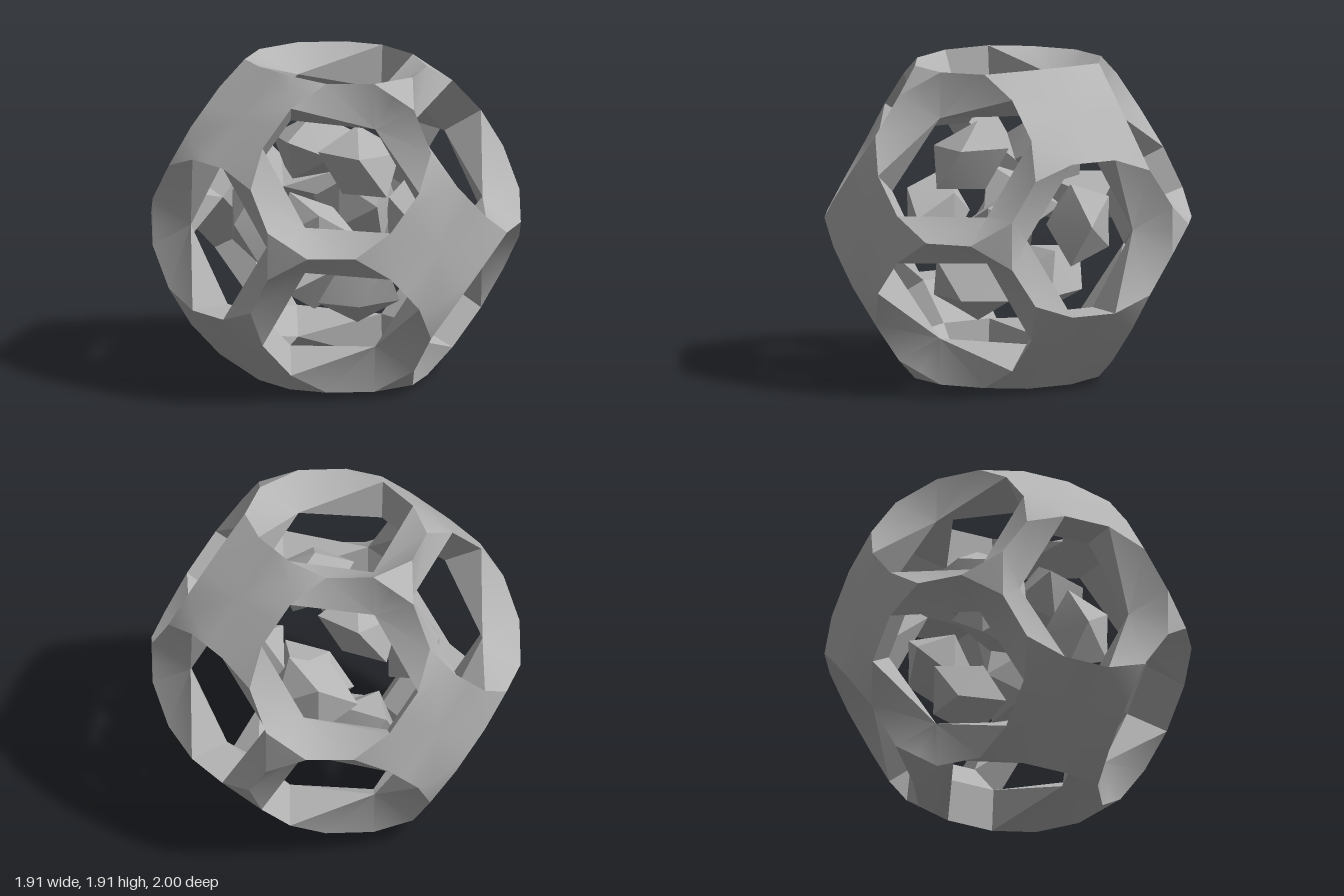
import * as THREE from 'three';
import { toCreasedNormals } from 'three/addons/utils/BufferGeometryUtils.js';

// Key points of one 1/48 wedge of a cube (a, b, c), with c >= a >= b >= 0.
const P = {
  // panel
  faceMid: [0, 0, 1], edgeMid: [0.35, 0, 1], edge: [0.35, 0.15, 1],
  tipBase: [0.25, 0.25, 1], tip: [0.4, 0.4, 0.93],
  // corner node and the sharp inner rim of the openings
  node: [0.562, 0.562, 0.764], nodeSide: [0.663, 0.562, 0.663], nodeMid: [0.63, 0.63, 0.63],
  rim: [0.565, 0.37, 0.565],
  // backs of the panels and corners
  backMid: [0, 0, 0.81], backSide: [0.16, 0, 0.81], back: [0.16, 0.16, 0.81],
  cornerSide: [0.4675, 0.4675, 0.565], cornerMid: [0.5, 0.5, 0.5],
  // floating shard
  spike: [0.15, 0.15, 0.5], notch: [0.244, 0.05, 0.244], cap: [0.424, 0.21, 0.424],
  capSide: [0.316, 0.316, 0.423], capMid: [0.352, 0.352, 0.352],
  baseSide: [0.147, 0.147, 0.243], baseMid: [0.179, 0.179, 0.179],
};

// Even and odd axis orders used to repeat the wedge.
const ORDERS = [
  [[0, 1, 2], 1], [[1, 2, 0], 1], [[2, 0, 1], 1],
  [[1, 0, 2], -1], [[0, 2, 1], -1], [[2, 1, 0], -1],
];

// Repeats the wedge faces over all 48 symmetries, keeping corners counter-clockwise.
function symmetricGeometry(faces, crease) {
  const out = [];
  const push = ([a, b, c]) => out.push((a - b) * Math.SQRT1_2, (a + b) * Math.SQRT1_2, c);
  for (const [order, parity] of ORDERS) {
    for (let s = 0; s < 8; s++) {
      const sign = [s & 1 ? -1 : 1, s & 2 ? -1 : 1, s & 4 ? -1 : 1];
      const flip = parity * sign[0] * sign[1] * sign[2] < 0;
      for (const face of faces) {
        const pts = face.map((n) => order.map((k, i) => P[n][k] * sign[i]));
        if (flip) pts.reverse();
        for (let i = 1; i < pts.length - 1; i++) [pts[0], pts[i], pts[i + 1]].forEach(push);
      }
    }
  }
  const g = new THREE.BufferGeometry();
  g.setAttribute('position', new THREE.Float32BufferAttribute(out, 3));
  return toCreasedNormals(g, crease);
}

export function createModel() {
  const model = new THREE.Group();
  model.name = 'openworkBall';
  const grey = new THREE.MeshStandardMaterial({ color: 0xb4b4b4 });
  grey.name = 'grey';

  const add = (name, faces, crease) => {
    const mesh = new THREE.Mesh(symmetricGeometry(faces, crease), grey);
    mesh.name = name;
    mesh.position.y = 0.955;
    model.add(mesh);
  };

  // Six four-pointed star panels
  add('starPanels', [
    ['faceMid', 'edgeMid', 'edge', 'tipBase'],
    ['tipBase', 'edge', 'tip'],
  ], 0.4);

  // Twelve rings sloping in to a sharp rim, with the panel edges
  add('openingRings', [
    ['edge', 'rim', 'tip'],
    ['rim', 'node', 'tip'],
    ['rim', 'nodeSide', 'node'],
    ['edge', 'back', 'rim'],
    ['edge', 'edgeMid', 'backSide', 'back'],
  ], 0.72);

  // Eight triangular corner nodes
  add('cornerNodes', [['node', 'nodeSide', 'nodeMid']], 0.4);

  // Hidden backs of panels and corners
  add('innerFaces', [
    ['back', 'backSide', 'backMid'],
    ['rim', 'back', 'cornerSide'],
    ['rim', 'cornerSide', 'cornerMid'],
  ], 0.4);

  // Eight three-pointed shards floating inside the corners
  add('innerShards', [
    ['capMid', 'capSide', 'cap'],
    ['capSide', 'spike', 'cap'],
    ['cap', 'spike', 'notch'],
    ['notch', 'spike', 'baseSide'],
    ['notch', 'baseSide', 'baseMid'],
  ], 0.3);

  return model;
}
